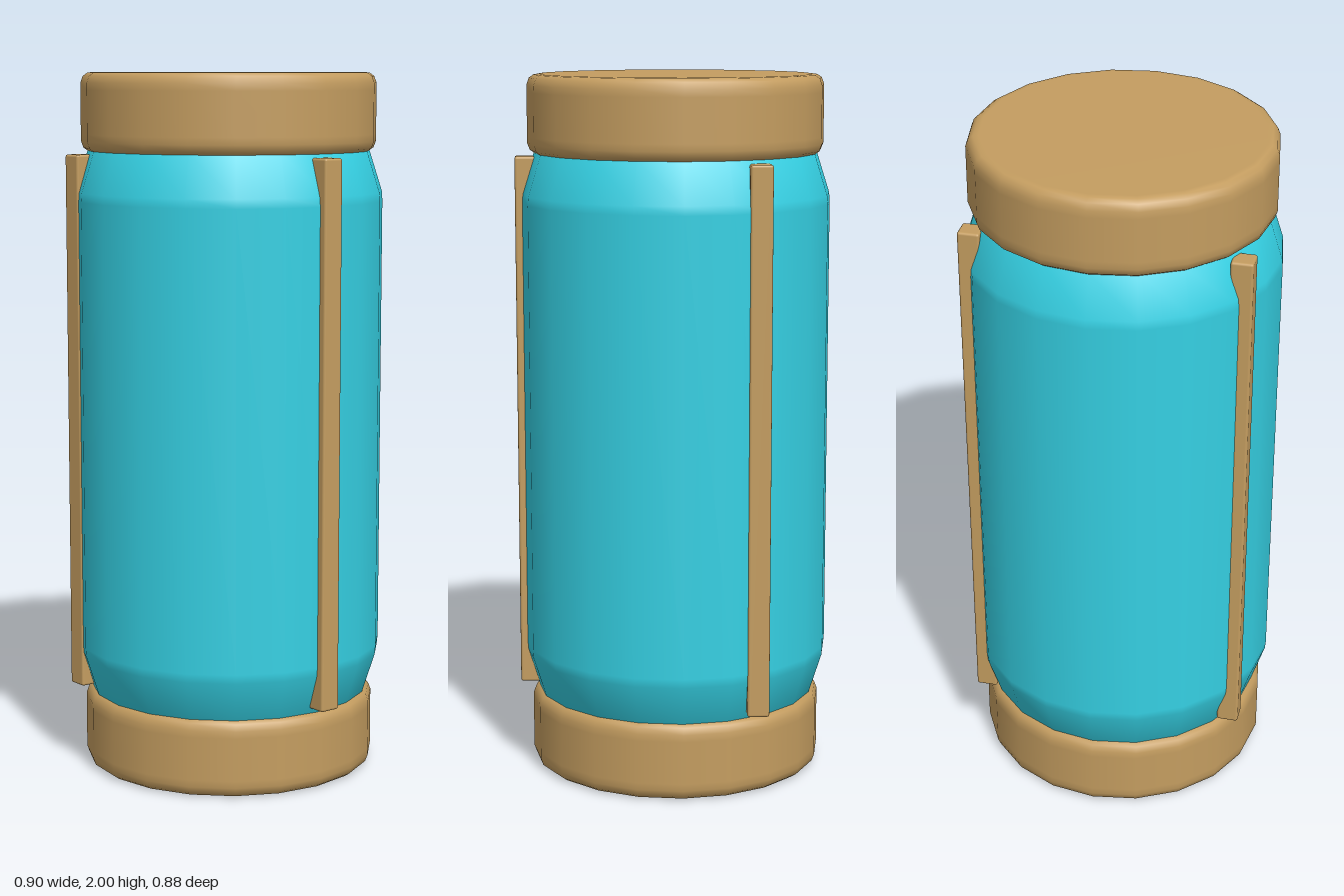
import * as THREE from 'three';
import { RoundedBoxGeometry } from 'three/addons/geometries/RoundedBoxGeometry.js';

const SIDES = 20;
const AXIS_X = -0.01; // the canister sits slightly off centre to balance the side rail

const teal = new THREE.MeshStandardMaterial({ color: 0x35d0e3 });
const tan = new THREE.MeshStandardMaterial({ color: 0xc49d60 });

function lathe(name, profile, material, y = 0) {
  const points = profile.map(([r, h]) => new THREE.Vector2(r, h));
  const mesh = new THREE.Mesh(new THREE.LatheGeometry(points, SIDES), material);
  mesh.name = name;
  mesh.position.set(AXIS_X, y, 0);
  return mesh;
}

// Mirrors the lower half of a profile about the given height
function mirrored(half, middle) {
  return [...half, ...half.map(([r, h]) => [r, 2 * middle - h]).reverse()];
}

export function createModel() {
  const group = new THREE.Group();
  group.name = 'canister';

  // Glass body, tapering into the caps at both ends
  group.add(lathe('body', mirrored([
    [0, 0.06], [0.3, 0.08], [0.4, 0.215], [0.438, 0.335], [0.44, 0.36],
  ], 1), teal));

  // Caps with rounded rims
  const capProfile = mirrored([
    [0, 0], [0.385, 0], [0.4, 0.002], [0.413, 0.011], [0.42, 0.03], [0.42, 0.05],
  ], 0.1115);
  group.add(lathe('bottomCap', capProfile, tan));
  group.add(lathe('topCap', capProfile, tan, 1.777));

  // Three vertical rails, spaced evenly but all square to the axes
  const rails = [
    ['leftRail', 0.415, 0],
    ['frontRail', -0.22, 0.369],
    ['backRail', -0.22, -0.369],
  ];
  const railGeometry = new RoundedBoxGeometry(0.062, 1.535, 0.062, 2, 0.007);
  for (const [name, x, z] of rails) {
    const rail = new THREE.Mesh(railGeometry, tan);
    rail.name = name;
    rail.position.set(x, 1.003, z);
    group.add(rail);
  }

  return group;
}
